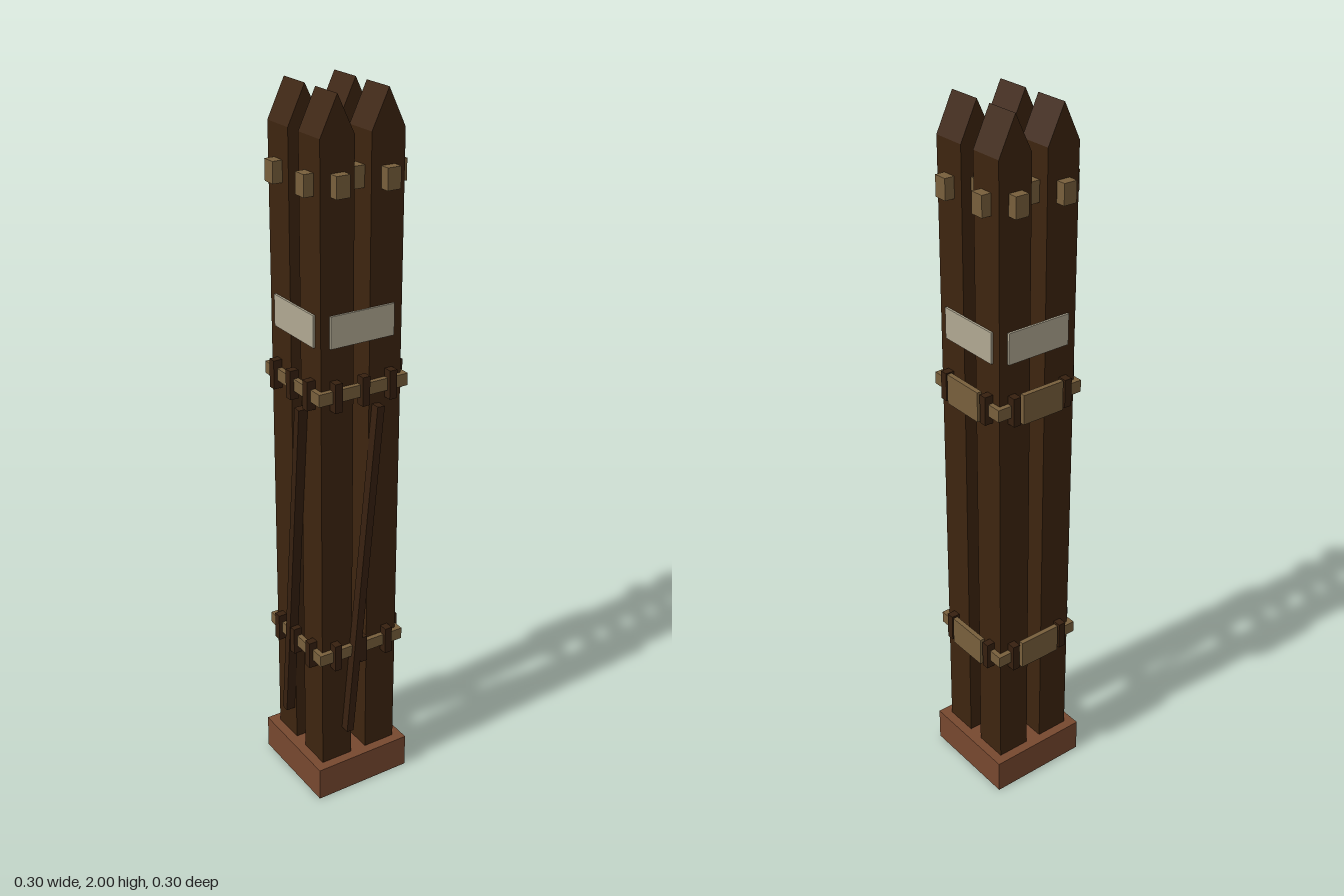
import * as THREE from 'three';

const mat = (name, color) => {
  const m = new THREE.MeshStandardMaterial({ color });
  m.name = name;
  return m;
};

export function createModel() {
  const darkWood = mat('dark wood', 0x3d240f);
  const stainedWood = mat('stained wood', 0x36200f);
  const lightWood = mat('light wood', 0x785f3c);
  const baseWood = mat('reddish base', 0x77482f);
  const plaque = mat('pale plaque', 0xb0a892);

  const model = new THREE.Group();
  model.name = 'bundledPosts';

  const box = (parent, name, material, size, pos) => {
    const mesh = new THREE.Mesh(new THREE.BoxGeometry(...size), material);
    mesh.position.set(...pos);
    mesh.name = name;
    parent.add(mesh);
    return mesh;
  };

  box(model, 'base', baseWood, [0.297, 0.1, 0.297], [0, 0.05, 0]);

  // Four posts with gabled tops, ridge running front to back
  const W = 0.097, C = 0.0725;
  const profile = new THREE.Shape([
    [-W / 2, 0.1], [W / 2, 0.1], [W / 2, 1.9], [0, 2], [-W / 2, 1.9],
  ].map(([x, y]) => new THREE.Vector2(x, y)));
  const postGeo = new THREE.ExtrudeGeometry(profile, { depth: W, bevelEnabled: false });
  postGeo.translate(0, 0, -W / 2);
  for (const x of [-C, C]) for (const z of [-C, C]) {
    const post = new THREE.Mesh(postGeo, darkWood);
    post.name = 'post';
    post.position.set(x, 0, z);
    model.add(post);
  }

  // Upper beams passing through the posts both ways
  for (const s of [-C, C]) {
    box(model, 'crossBeam', lightWood, [0.297, 0.056, 0.039], [0, 1.787, s]);
    box(model, 'throughBeam', lightWood, [0.039, 0.056, 0.297], [s, 1.787, 0]);
  }

  // Each side is built facing forward, then turned: front, left, back, right
  for (let k = 0; k < 4; k++) {
    const side = new THREE.Group();
    side.name = ['front', 'left', 'back', 'right'][k] + 'Side';
    side.rotation.y = k * Math.PI / 2;
    model.add(side);

    box(side, 'plaque', plaque, [0.19, 0.086, 0.006], [0, 1.418, 0.124]);

    const braced = k === 0 || k === 3;
    for (const y of [0.462, 1.247]) {
      box(side, 'rail', lightWood, [0.27, 0.034, 0.014], [0, y, 0.128]);
      for (const x of [-0.083, 0, 0.083]) {
        if (x === 0 && !braced) continue;
        box(side, 'railClamp', stainedWood, [0.022, 0.08, 0.025], [x, y, 0.1335]);
      }
      if (!braced) box(side, 'railPlate', lightWood, [0.128, 0.084, 0.014], [0, y, 0.141]);
    }

    // Slanted brace across the gap
    if (braced) {
      const brace = box(side, 'brace', stainedWood, [0.022, 1.0, 0.027], [0, 0.697, 0.1345]);
      brace.rotation.z = -Math.atan2(0.09, 1);
    }
  }
  return model;
}
